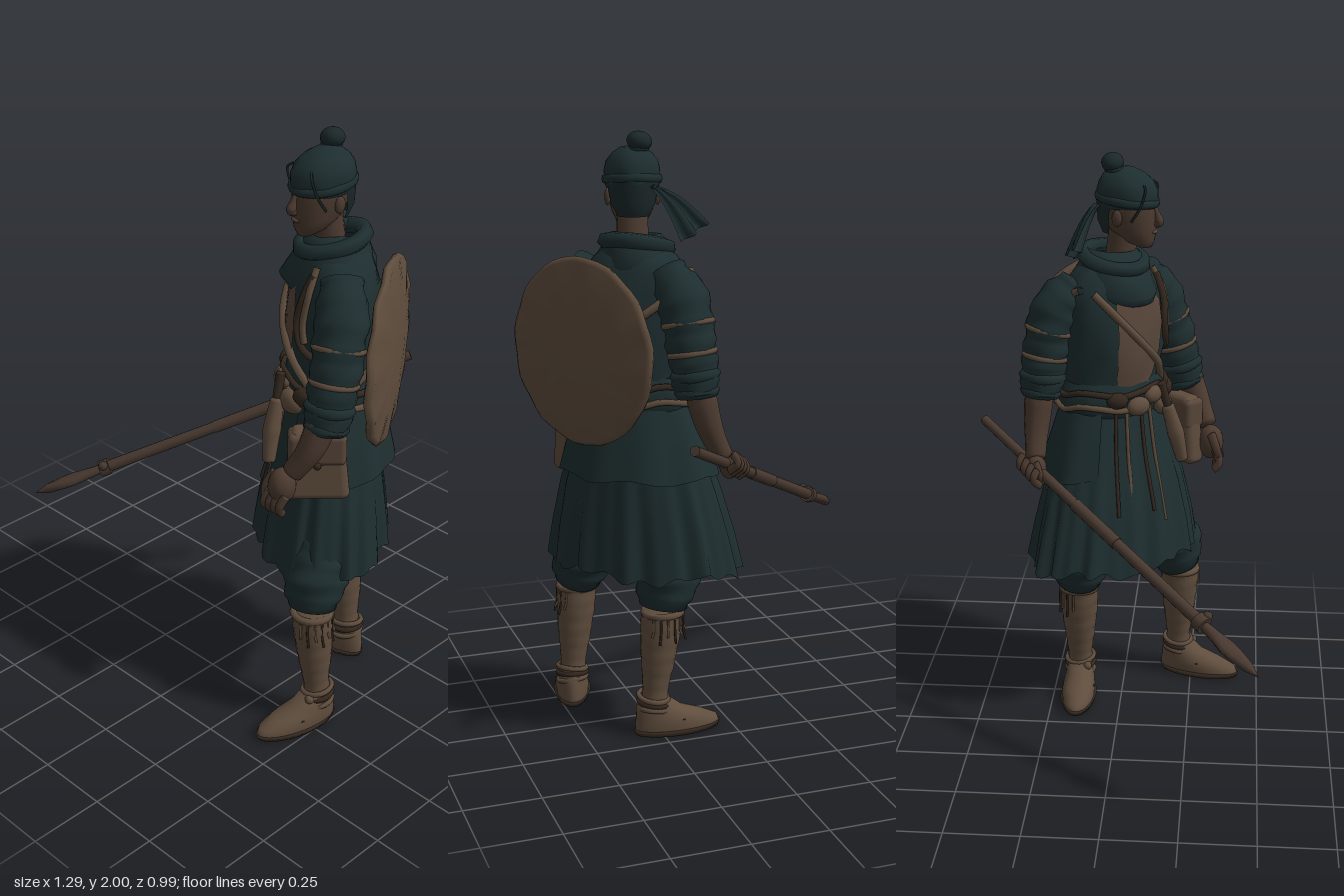
import * as THREE from 'three';
import { mergeVertices } from 'three/addons/utils/BufferGeometryUtils.js';
import { RoundedBoxGeometry } from 'three/addons/geometries/RoundedBoxGeometry.js';

const V = (p) => new THREE.Vector3(...p);
const { sin, cos, PI } = Math;

export function createModel() {
  const flat = (name, color, side = THREE.FrontSide) => {
    const m = new THREE.MeshStandardMaterial({ color, side });
    m.name = name;
    return m;
  };
  const cloth = flat('dark teal cloth', 0x1e2e30, THREE.DoubleSide);
  const leather = flat('tan leather', 0x5f4d3d, THREE.DoubleSide);
  const linen = flat('brown linen', 0x58463a, THREE.DoubleSide);
  const skin = flat('skin', 0x4c3b30);
  const wood = flat('wood', 0x483930);
  const dark = flat('dark leather', 0x33281f);
  const hair = flat('hair', 0x1b2829, THREE.DoubleSide);

  const root = new THREE.Group();
  root.name = 'warrior';
  const group = (name, pos, yaw) => {
    const g = new THREE.Group();
    g.name = name;
    g.position.set(...pos);
    g.rotation.y = yaw;
    root.add(g);
    return g;
  };
  const add = (parent, name, geo, mat, pos = [0, 0, 0], rot = [0, 0, 0], scale = [1, 1, 1]) => {
    const m = new THREE.Mesh(geo, mat);
    m.name = name;
    m.position.set(...pos);
    m.rotation.set(...rot);
    m.scale.set(...scale);
    parent.add(m);
    return m;
  };
  const smooth = (g) => {
    g.deleteAttribute('uv');
    g.deleteAttribute('normal');
    const out = mergeVertices(g, 1e-5);
    out.computeVertexNormals();
    return out;
  };

  // Skin over horizontal rings [y, halfWidth, halfDepth, shiftX, shiftZ], bottom to top.
  const loft = (rings, { seg = 32, from = () => 0, to = () => 2 * PI, grow = 0, wave = () => 0, hem = () => 0 } = {}) => {
    const pos = [], idx = [], n = rings.length - 1;
    rings.forEach(([y, a, b, dx = 0, dz = 0], i) => {
      const t = i / n;
      for (let j = 0; j <= seg; j++) {
        const u = from(t) + (to(t) - from(t)) * (j / seg), k = 1 + wave(u, t);
        pos.push(dx + (a + grow) * k * sin(u), y + (1 - t) * hem(u), dz + (b + grow) * k * cos(u));
        if (i < n && j < seg) {
          const p = i * (seg + 1) + j, q = p + seg + 1;
          idx.push(p, p + 1, q + 1, p, q + 1, q);
        }
      }
    });
    const g = new THREE.BufferGeometry();
    g.setAttribute('position', new THREE.Float32BufferAttribute(pos, 3));
    g.setIndex(idx);
    return smooth(g);
  };

  // Tube with changing radius and closed ends; folds adds cloth wrinkles.
  const limb = (pts, radii, seg = 12, folds = 0) => {
    const curve = new THREE.CatmullRomCurve3(pts.map(V)), n = 24;
    const g = new THREE.TubeGeometry(curve, n, 1, seg);
    const p = g.attributes.position, v = new THREE.Vector3();
    for (let i = 0; i <= n; i++) {
      const c = curve.getPointAt(i / n), s = (i / n) * (radii.length - 1), k = Math.min(Math.floor(s), radii.length - 2);
      const r = i % n === 0 ? 1e-4 : THREE.MathUtils.lerp(radii[k], radii[k + 1], s - k) + folds * sin(i * 1.9);
      for (let j = 0; j <= seg; j++) {
        const at = i * (seg + 1) + j;
        v.fromBufferAttribute(p, at).sub(c).multiplyScalar(r * (1 + folds * 8 * sin(j * 2 * PI / seg * 3 + i))).add(c);
        p.setXYZ(at, v.x, v.y, v.z);
      }
    }
    return smooth(g);
  };
  const cord = (pts, r, closed = false) =>
    new THREE.TubeGeometry(new THREE.CatmullRomCurve3(pts.map(V), closed), 40, r, 6, closed);

  // Torso, with shirt opening at the chest
  const body = group('body', [0.285, 0, -0.04], -PI / 4);
  const torso = [[1.12, .185, .14], [1.18, .175, .135], [1.25, .182, .145], [1.33, .195, .155], [1.42, .2, .152],
    [1.5, .2, .138], [1.56, .18, .125], [1.61, .135, .105], [1.65, .07, .07]];
  const wrinkle = (u, t) => .025 * sin(5 * u + t * 9) + .015 * sin(9 * u - t * 14);
  add(body, 'jacket', loft(torso, { seg: 48, wave: wrinkle }), cloth);
  add(body, 'shirt', loft(torso.slice(1, 8), {
    seg: 14, from: (t) => -.5 + t * .1, to: (t) => .1 + .5 * sin(t * PI), grow: .006, wave: wrinkle }), linen);
  const onTorso = (u, y, off = .01) => {
    const i = Math.max(1, torso.findIndex((r) => r[0] >= y)), p = torso[i - 1], q = torso[i];
    const k = (y - p[0]) / (q[0] - p[0]), mix = (c) => THREE.MathUtils.lerp(p[c], q[c], k) + off;
    return [mix(1) * sin(u), y, mix(2) * cos(u)];
  };

  // Straps across the chest and back
  const strap = (name, list, r, mat) => add(body, name, cord(list.map(([u, y]) => onTorso(u, y)), r, false), mat);
  strap('chestStrap', [[-.9, 1.55], [-.5, 1.48], [-.05, 1.38], [.5, 1.28], [1.1, 1.18], [1.5, 1.13]], .014, leather);
  strap('backStrap', [[-1.2, 1.56], [-2.2, 1.5], [-2.9, 1.4], [-3.8, 1.28], [-4.7, 1.16]], .014, leather);
  strap('shoulderCord', [[.95, 1.58], [.75, 1.5], [.7, 1.42], [.85, 1.34], [1.25, 1.3]], .013, dark);
  strap('shoulderStrap', [[1.0, 1.6], [.9, 1.52], [.85, 1.42], [.9, 1.36]], .011, leather);

  // Skirts: pleated lower layer and short upper layer
  add(body, 'skirt', loft([[.575, .335, .225, -.01, .03], [.7, .312, .212, -.005, .027], [.85, .275, .188, 0, .02],
    [1, .225, .16, 0, .01], [1.14, .18, .135]], {
    seg: 120,
    wave: (u, t) => (1 - t) * (.035 * sin(14 * u) + .025 * sin(23 * u + 1)),
    hem: (u) => .012 * sin(5 * u) + .01 * sin(17 * u) }), cloth);
  add(body, 'jacketTail', loft([[.9, .275, .205, 0, 0], [1, .248, .185], [1.1, .212, .16], [1.18, .18, .142]], {
    seg: 60, from: () => .75, to: () => 2 * PI - .75,
    wave: (u, t) => (1 - t) * .025 * sin(9 * u), hem: (u) => .008 * sin(6 * u) }), cloth);

  // Belt and hanging gear
  add(body, 'sash', loft([[1.11, .19, .145], [1.14, .208, .16], [1.19, .206, .16], [1.23, .182, .143]], {
    seg: 40, wave: (u) => .015 * sin(11 * u) }), cloth);
  for (const [y, mat] of [[1.15, leather], [1.2, dark]])
    add(body, 'beltCord', cord(Array.from({ length: 16 }, (_, i) => [.21 * sin(i * PI / 8), y + .01 * sin(i * 2), .163 * cos(i * PI / 8)]), .011, true), mat);
  [[-.5, 1.18, .032, dark], [-.1, 1.15, .038, leather], [.25, 1.18, .036, leather], [.6, 1.13, .045, leather], [.95, 1.17, .036, dark]]
    .forEach(([u, y, r, mat]) =>
      add(body, 'beltPouch', new THREE.SphereGeometry(r, 12, 8), mat, [.205 * sin(u), y, .168 * cos(u)], [0, u, 0], [1.2, .9, .7]));
  add(body, 'knifeSheath', limb([[.1, 1.14, .18], [.125, 1.03, .2], [.15, .92, .21]], [.022, .03, .02], 8), leather);
  add(body, 'knifeHandle', limb([[.08, 1.22, .17], [.1, 1.13, .185]], [.016, .014], 8), dark);
  [-.5, -.3, 0, .2].forEach((u, i) =>
    add(body, 'hangingCord', cord([[1.14, .2, .157], [.98, .235, .18], [.78 - .05 * (i % 2), .29, .232]].map(
      ([y, a, b]) => [a * sin(u), y, b * cos(u)]), .007), i % 2 ? leather : dark));

  // Side bag with flap, wider at its foot
  const bag = group('bag', [.43, .995, .19], PI / 4);
  const pouch = new RoundedBoxGeometry(.19, .25, .075, 3, .025), bp = pouch.attributes.position;
  for (let i = 0; i < bp.count; i++) bp.setX(i, bp.getX(i) * (1 - bp.getY(i) * 1.1));
  add(bag, 'bagBody', pouch, leather);
  add(bag, 'bagFlap', new RoundedBoxGeometry(.185, .11, .085, 3, .02), linen, [0, .06, .003]);
  add(bag, 'bagToggle', new THREE.SphereGeometry(.013, 8, 6), dark, [0, .01, .045]);

  // Arms
  const arms = [
    { side: 'left', pts: [[.39, 1.58, .05], [.445, 1.49, .105], [.475, 1.33, .16], [.485, 1.12, .215]],
      fore: [[.485, 1.22, .2], [.465, 1.08, .26], [.42, .99, .3]], hand: [.395, .945, .31], grip: 1.3 },
    { side: 'right', pts: [[.22, 1.57, -.14], [.185, 1.48, -.22], [.17, 1.34, -.255], [.155, 1.17, -.275]],
      fore: [[.155, 1.22, -.275], [.12, 1.08, -.285], [.07, .97, -.285]], hand: [.05, .95, -.28], grip: 1 }];
  for (const { side, pts, fore, hand, grip } of arms) {
    const g = group(side + 'Arm', [0, 0, 0], 0);
    add(g, 'sleeve', limb(pts, [.06, .085, .082, .077, .07], 18, .004), cloth);
    const path = new THREE.CatmullRomCurve3(pts.map(V));
    const ring = (t, r, tube, mat) => {
      const m = add(g, 'sleeveBand', new THREE.TorusGeometry(r, tube, 6, 24), mat, path.getPointAt(t).toArray());
      m.quaternion.setFromUnitVectors(V([0, 0, 1]), path.getTangentAt(t));
    };
    ring(.45, .078, .01, leather);
    ring(.66, .073, .01, leather);
    ring(.82, .063, .02, cloth);
    ring(.94, .054, .02, cloth);
    add(g, 'forearm', limb(fore, [.048, .05, .045, .038, .034], 12), skin);
    // Hand built around its palm, then sized
    const h = add(g, 'palm', new THREE.SphereGeometry(.04, 14, 10), skin, hand, [0, 0, 0], [.85 * grip, 1.2 * grip, .9 * grip]);
    for (let i = 0; i < 4; i++) {
      const s = i * .02 - .03;
      add(h, 'finger', side === 'left'
        ? limb([[s, -.01, .015], [s - .012, -.04, .028], [s - .015, -.06, .01]], [.014, .013, .01], 7)
        : limb([[s - .02, .025 + s * .5, -s - .02], [s - .038, s * .5, -s - .034], [s - .01, -.028 + s * .5, -s - .01]], [.014, .014, .012], 7), skin);
    }
    add(h, 'thumb', limb([[-.025, .025, 0], [-.045, -.01, .02], [-.035, -.035, .03]], [.014, .013, .009], 7), skin);
  }

  // Legs: baggy trousers, wrapped gaiters, shoes
  const legs = [
    { side: 'left', hip: [.37, .85, .05], knee: [.415, .58, .165], top: [.435, .45, .205], ankle: [.46, .08, .2], yaw: -.25 },
    { side: 'right', hip: [.24, .85, -.09], knee: [.22, .58, -.145], top: [.24, .45, -.155], ankle: [.275, .08, -.155], yaw: -PI / 2 }];
  for (const { side, hip, knee, top, ankle, yaw } of legs) {
    const g = group(side + 'Leg', [0, 0, 0], 0);
    add(g, 'trouser', limb([hip, knee, [top[0], top[1] - .02, top[2]]], [.08, .09, .1, .108, .075], 20, .004), cloth);
    const mid = top.map((c, i) => c * .6 + ankle[i] * .4);
    add(g, 'gaiter', limb([top, mid, ankle], [.07, .067, .058, .045, .042], 16, .001), leather);
    add(g, 'gaiterCuff', new THREE.TorusGeometry(.062, .012, 8, 24), leather, [top[0], top[1] - .02, top[2]], [PI / 2, 0, 0]);
    for (let i = 0; i < 7; i++) {
      const a = i * .35 + (side === 'left' ? .2 : 2.4), x = top[0] + .07 * sin(a), z = top[2] + .07 * cos(a);
      add(g, 'fringe', cord([[x, top[1] - .03, z], [x, top[1] - .07, z], [x + .01 * sin(a), top[1] - .09 - .025 * (i % 2), z]], .004), i % 2 ? dark : leather);
    }
    const shoe = group(side + 'Shoe', [ankle[0], 0, ankle[2]], yaw);
    add(shoe, 'sole', loft([[0, 0, 0, 0, .085], [.001, .056, .145, 0, .085], [.02, .062, .153, 0, .085], [.022, 0, 0, 0, .085]],
      { wave: (u) => -.06 * sin(u) ** 2 * cos(u * 2) }), dark);
    add(shoe, 'upper', loft([[.018, .058, .148, 0, .085], [.04, .06, .145, 0, .08], [.065, .056, .115, 0, .055],
      [.09, .048, .08, 0, .02], [.13, .044, .048, 0, 0], [.14, 0, 0]]), leather);
    [.09, .112, .132].forEach((y, i) => add(shoe, 'ankleTie', new THREE.TorusGeometry(.05, .009, 6, 20), i % 2 ? dark : leather, [0, y, 0], [PI / 2 + .15, (i - 1) * .12, 0]));
    add(shoe, 'instepTie', cord([[-.055, .05, .09], [0, .085, .09], [.055, .05, .09]], .008), dark);
    add(shoe, 'knot', new THREE.SphereGeometry(.016, 8, 6), leather, [.03, .115, .05]);
  }

  // Neck and scarf
  add(root, 'neck', limb([[.285, 1.55, -.02], [.28, 1.76, .005]], [.055, .05], 14), skin);
  add(body, 'scarf', loft([[1.535, .135, .13, 0, .02], [1.56, .145, .148, 0, .022], [1.61, .128, .122, 0, .012],
    [1.65, .106, .102, 0, .008], [1.68, .082, .082], [1.66, .065, .065]], {
    seg: 40, wave: (u, t) => .05 * sin(3 * u + t * 8), hem: (u) => -.04 * Math.max(0, cos(u)) }), cloth);
  add(body, 'scarfRoll', cord(Array.from({ length: 12 }, (_, i) =>
    [.1 * sin(i * PI / 6), 1.64 - .025 * cos(i * PI / 6), .012 + .1 * cos(i * PI / 6)]), .027, true), cloth);

  // Head, hair and head wrap
  const head = group('head', [.275, 1.8, .015], -.25);
  add(head, 'face', loft([[-.12, 0, 0, 0, .06], [-.115, .025, .022, 0, .065], [-.095, .05, .05, 0, .045], [-.06, .066, .08, 0, .022],
    [0, .078, .096, 0, .006], [.05, .08, .098], [.1, .06, .075], [.13, 0, 0]], { seg: 28 }), skin);
  add(head, 'nose', limb([[0, .025, .096], [0, -.01, .108], [0, -.03, .114], [0, -.038, .096]], [.008, .011, .016, .012], 8), skin);
  add(head, 'lips', new THREE.SphereGeometry(.02, 10, 8), linen, [0, -.062, .096], [0, 0, 0], [1.1, .4, .6]);
  for (const s of [-1, 1]) {
    add(head, 'ear', new THREE.SphereGeometry(.026, 10, 8), skin, [s * .08, -.01, -.01], [0, 0, 0], [.4, 1.1, .7]);
    add(head, 'brow', limb([[s * .015, .026, .099], [s * .04, .03, .088], [s * .06, .022, .068]], [.004, .006, .004], 6), hair);
    add(head, 'eye', new THREE.SphereGeometry(.011, 8, 6), dark, [s * .034, .004, .084], [0, s * .3, 0], [1.2, .5, .5]);
  }
  add(head, 'napeHair', loft([[-.07, .05, .05, 0, -.035], [-.03, .074, .082, 0, -.02], [.04, .086, .1, 0, -.006]],
    { seg: 20, from: () => 1.85, to: () => 2 * PI - 1.85 }), hair);
  add(head, 'headWrap', loft([[.02, .084, .1], [.04, .091, .107], [.075, .092, .106], [.105, .083, .094, 0, -.004], [.13, .062, .072, 0, -.01],
    [.148, .035, .04, 0, -.015], [.153, 0, 0, 0, -.02]], { seg: 36, wave: (u, t) => .02 * sin(6 * u + t * 7) }), cloth);
  add(head, 'wrapBand', new THREE.TorusGeometry(.09, .008, 8, 32), cloth, [0, .045, 0], [PI / 2 + .12, 0, 0], [1, 1.15, 1.8]);
  add(head, 'hairBun', new THREE.SphereGeometry(.038, 14, 10), hair, [-.022, .167, -.045], [0, 0, .2], [1.08, .85, 1]);
  add(head, 'bunTie', new THREE.TorusGeometry(.026, .009, 6, 16), cloth, [-.02, .145, -.04], [PI / 2, 0, 0]);
  for (const s of [-1, 1])
    add(head, 'looseStrand', cord([[s * .05, .1, .075], [s * .068, .085, .085], [s * .075, .03, .07], [s * .08, -.02, .04]], .004), hair);
  // Flowing tails of the head wrap
  const tail = (name, end, w) => {
    const g = new THREE.PlaneGeometry(1, 1, 4, 8), p = g.attributes.position, a = V([.24, 1.83, -.085]), b = V(end);
    for (let i = 0; i < p.count; i++) {
      const t = .5 - p.getY(i), s = p.getX(i) * w * (.3 + .7 * t), c = a.clone().lerp(b, t);
      p.setXYZ(i, c.x + s * .7, c.y - s * .4 + .02 * sin(t * PI), c.z + s * .5 + .012 * sin(p.getX(i) * 9));
    }
    add(root, name, smooth(g), cloth);
  };
  tail('wrapTailLong', [.145, 1.67, -.165], .07);
  tail('wrapTailShort', [.09, 1.7, -.14], .06);

  // Round shield on the back: its outer side is local +y
  const shield = group('shield', [.488, 1.31, -.082], 0);
  shield.quaternion.setFromUnitVectors(V([0, 1, 0]), V([.87, 0, -.5]).normalize());
  const profile = [[0, -.008], [.2, -.014], [.285, -.026], [.3, -.022], [.306, -.008], [.29, .004], [.2, .018], [.1, .025], [0, .027]];
  const disc = new THREE.LatheGeometry(profile.map((q) => new THREE.Vector2(...q)), 48);
  const dp = disc.attributes.position;
  for (let i = 0; i < dp.count; i++) {
    const x = dp.getX(i), z = dp.getZ(i), r = Math.hypot(x, z), a = Math.atan2(z, x);
    dp.setY(i, dp.getY(i) + .004 * (r / .3) ** 4 * sin(12 * a));
  }
  add(shield, 'shieldDisc', smooth(disc), leather);
  add(shield, 'shieldGrip', cord([[0, -.01, -.1], [0, -.05, 0], [0, -.01, .1]], .012), dark);

  // Spear, built pointing along +y from the butt
  const butt = V([.24, 1.06, -.485]), tip = V([-.65, .54, .49]), length = butt.distanceTo(tip);
  const spear = group('spear', butt.toArray(), 0);
  spear.quaternion.setFromUnitVectors(V([0, 1, 0]), tip.clone().sub(butt).normalize());
  const shaft = length - .26;
  add(spear, 'shaft', new THREE.CylinderGeometry(.021, .017, shaft, 10), wood, [0, shaft / 2, 0]);
  add(spear, 'gripWrap', new THREE.CylinderGeometry(.022, .022, .22, 10), wood, [0, .62, 0]);
  add(spear, 'collar', new THREE.CylinderGeometry(.03, .03, .035, 10), wood, [0, shaft - .01, 0]);
  add(spear, 'collarKnot', new THREE.SphereGeometry(.017, 8, 6), wood, [.03, shaft - .01, 0]);
  const blade = [[0, .016], [.06, .022], [.11, .034], [.15, .032], [.21, .018], [.26, .001]];
  add(spear, 'spearhead', loft(blade.map(([y, r]) => [shaft + y, r, Math.min(r, .018)]), { seg: 8 }), wood, [0, 0, 0], [0, -.74, 0]);

  return root;
}
